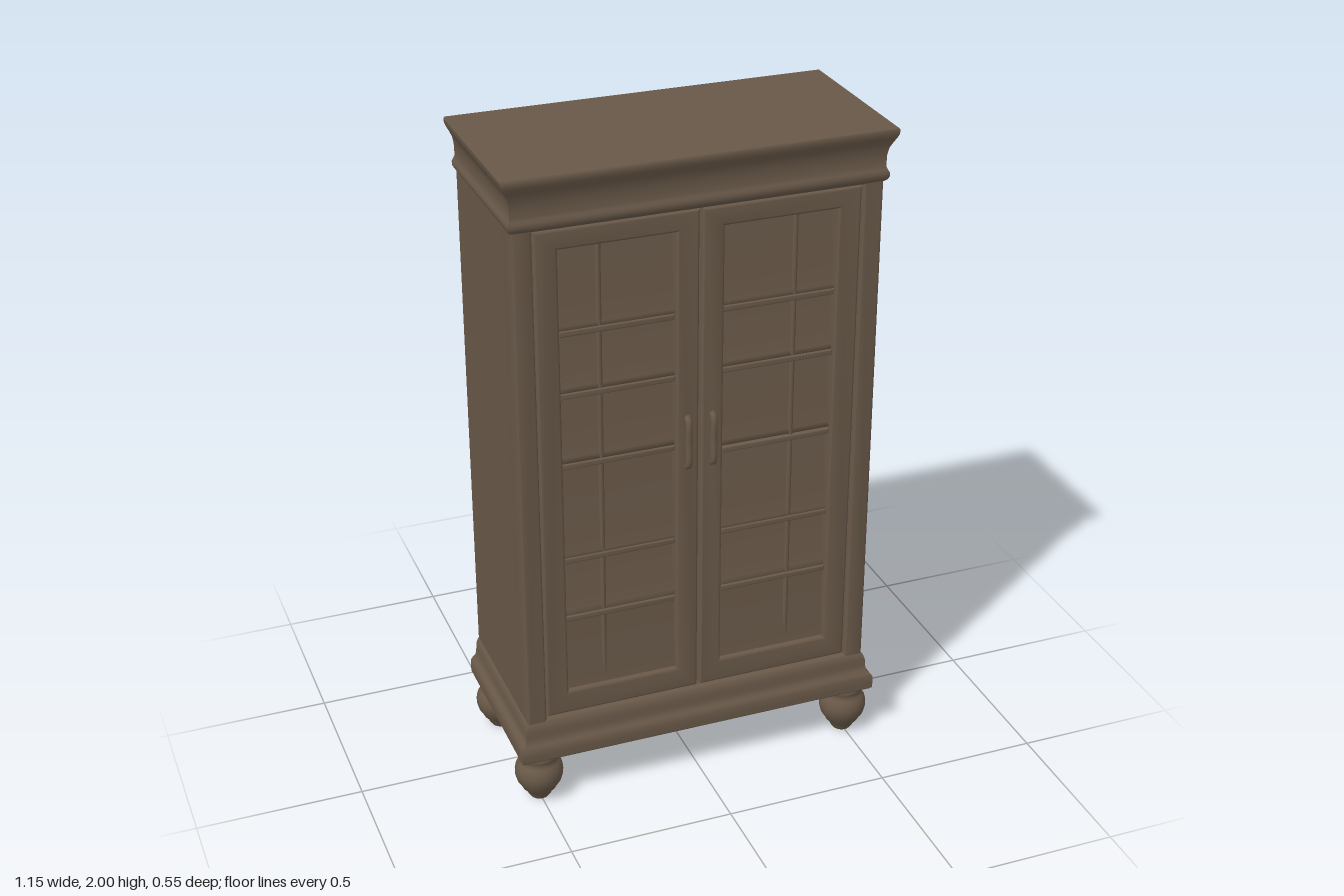
import * as THREE from 'three';
import { toCreasedNormals } from 'three/addons/utils/BufferGeometryUtils.js';

const wood = new THREE.MeshStandardMaterial({ color: 0x685848 });
wood.name = 'brown wood';

const BACK = -0.27, FRONT = 0.24, HALF = 0.54;

function add(parent, name, geometry, x = 0, y = 0, z = 0) {
  const mesh = new THREE.Mesh(geometry, wood);
  mesh.name = name;
  mesh.position.set(x, y, z);
  parent.add(mesh);
  return mesh;
}

// Stacked rectangles that grow outward on the front and sides, flat at the back.
function moulding(profile) {
  const pos = [], idx = [];
  for (const [out, y] of profile) {
    const x = HALF + out, z = FRONT + out * 0.85;
    pos.push(-x, y, z, x, y, z, x, y, BACK, -x, y, BACK);
  }
  for (let i = 0; i < profile.length - 1; i++) {
    for (let j = 0; j < 4; j++) {
      const a = i * 4 + j, b = i * 4 + (j + 1) % 4;
      idx.push(a, b, b + 4, a, b + 4, a + 4);
    }
  }
  const t = (profile.length - 1) * 4;
  idx.push(0, 2, 1, 0, 3, 2, t, t + 1, t + 2, t, t + 2, t + 3);
  const g = new THREE.BufferGeometry();
  g.setAttribute('position', new THREE.Float32BufferAttribute(pos, 3));
  g.setIndex(idx);
  return toCreasedNormals(g, 0.7);
}

function rect(Type, x0, y0, x1, y1) {
  const p = new Type();
  p.moveTo(x0, y0);
  p.lineTo(x1, y0);
  p.lineTo(x1, y1);
  p.lineTo(x0, y1);
  p.closePath();
  return p;
}

// Flat plate with softened edges whose front face lies at z = front.
function plate(shape, depth, bevel, front) {
  const g = new THREE.ExtrudeGeometry(shape, {
    depth: depth - bevel, bevelEnabled: true, bevelSize: bevel,
    bevelThickness: bevel, bevelOffset: -bevel, bevelSegments: 3,
  });
  g.translate(0, 0, front - depth);
  return toCreasedNormals(g, 0.6);
}

// Window backing that sinks under each shelf and swells forward above the next.
function scoopedPanel(x0, x1, levels) {
  const y0 = levels[0], y1 = levels[levels.length - 1];
  const g = new THREE.PlaneGeometry(x1 - x0, y1 - y0, 10, 90);
  g.translate((x0 + x1) / 2, (y0 + y1) / 2, 0);
  const p = g.attributes.position;
  for (let i = 0; i < p.count; i++) {
    const y = p.getY(i);
    let k = 0;
    while (k < levels.length - 2 && y > levels[k + 1]) k++;
    const t = THREE.MathUtils.clamp((y - levels[k]) / (levels[k + 1] - levels[k]), 0, 1);
    const depth = k === 0 ? 0.012 : 0.03;
    p.setZ(i, 0.218 - depth * Math.pow(t, 0.7));
  }
  g.computeVertexNormals();
  return g;
}

function createDoor(side) {
  const door = new THREE.Group();
  door.name = side < 0 ? 'rightDoor' : 'leftDoor';
  const span = (a, b) => side < 0 ? [-b, -a] : [a, b];
  const [x0, x1] = span(0.004, 0.478);
  const [w0, w1] = span(0.07, 0.41);
  const bottom = 0.37, top = 1.775;

  // Frame around the window
  const shape = rect(THREE.Shape, x0, 0.295, x1, 1.835);
  shape.holes.push(rect(THREE.Path, w0, bottom, w1, top));
  add(door, 'doorFrame', plate(shape, 0.07, 0.008, 0.234));

  // Shelves and window backing
  const shelves = side < 0 ? [0.61, 0.805, 1.11, 1.33, 1.52] : [0.61, 0.805, 1.075, 1.33, 1.52];
  add(door, 'windowPanel', scoopedPanel(w0, w1, [bottom, ...shelves, top]));
  const shelfShape = rect(THREE.Shape, w0, -0.009, w1, 0.009);
  const shelf = plate(shelfShape, 0.05, 0.006, 0.221);
  for (const y of shelves) add(door, 'shelf', shelf, 0, y, 0);

  // Slim upright bar
  const bar = new THREE.CylinderGeometry(0.008, 0.008, top - bottom, 10);
  add(door, 'mullion', bar, side * 0.29, (top + bottom) / 2, 0.208);

  // Pull handle
  const curve = new THREE.CatmullRomCurve3([
    new THREE.Vector3(0, -0.08, 0.226), new THREE.Vector3(0, -0.07, 0.242),
    new THREE.Vector3(0, 0, 0.244), new THREE.Vector3(0, 0.07, 0.242),
    new THREE.Vector3(0, 0.08, 0.226),
  ]);
  add(door, 'handle', new THREE.TubeGeometry(curve, 24, 0.01, 10), side * 0.038, 1.13, 0);
  return door;
}

export function createModel() {
  const cabinet = new THREE.Group();
  cabinet.name = 'displayCabinet';

  // Carcass behind the doors
  const depth = 0.165 - BACK;
  add(cabinet, 'carcass', new THREE.BoxGeometry(HALF * 2, 1.62, depth), 0, 1.07, BACK + depth / 2);

  // Face frame: corner posts with top and bottom rails
  const face = rect(THREE.Shape, -HALF, 0.25, HALF, 1.88);
  face.holes.push(rect(THREE.Path, -0.482, 0.29, 0.482, 1.838));
  add(cabinet, 'faceFrame', plate(face, 0.08, 0.008, FRONT));

  cabinet.add(createDoor(-1), createDoor(1));

  // Stepped base and crown
  add(cabinet, 'base', moulding([
    [0.022, 0.16], [0.029, 0.166], [0.03, 0.185], [0.029, 0.208], [0.022, 0.218],
    [0.013, 0.226], [0.01, 0.245], [0.009, 0.265], [0.004, 0.28], [0, 0.285],
  ]));
  add(cabinet, 'crown', moulding([
    [0, 1.842], [0.007, 1.848], [0.012, 1.857], [0.012, 1.868], [0.007, 1.877],
    [0.003, 1.885], [0.004, 1.92], [0.008, 1.94], [0.015, 1.955], [0.024, 1.972],
    [0.029, 1.983], [0.03, 1.996], [0.027, 2],
  ]));

  // Turned bun feet
  const profile = [
    [0, 0], [0.028, 0.001], [0.036, 0.012], [0.04, 0.024], [0.052, 0.036], [0.058, 0.048],
    [0.067, 0.062], [0.072, 0.08], [0.073, 0.095], [0.07, 0.112], [0.062, 0.127],
    [0.055, 0.135], [0.059, 0.145], [0.06, 0.155], [0.057, 0.165],
  ].map(([r, y]) => new THREE.Vector2(r, y));
  const foot = new THREE.LatheGeometry(profile, 32);
  for (const x of [-0.5, 0.5]) {
    for (const z of [-0.2, 0.2]) add(cabinet, 'foot', foot, x, 0, z);
  }
  return cabinet;
}
